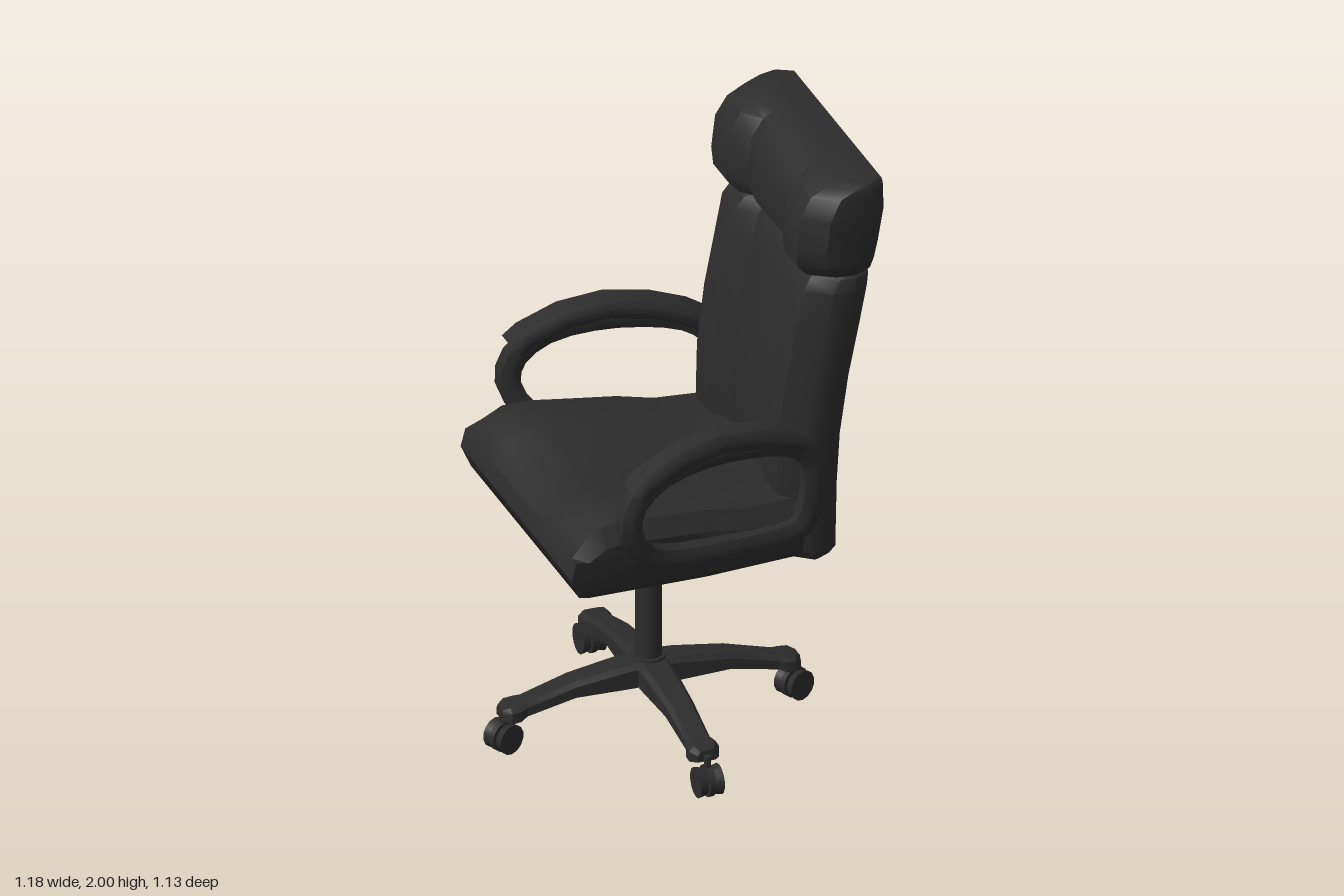
import * as THREE from 'three';
import { mergeVertices, toCreasedNormals } from 'three/addons/utils/BufferGeometryUtils.js';

const black = new THREE.MeshStandardMaterial({ color: 0x2c2c2c });
black.name = 'black leather and plastic';

const V = (x, y, z) => new THREE.Vector3(x, y, z);

// Skin a list of equal-length rings; either capped at both ends or joined into a loop
function loft(rings, loop = false, crease = 0.6) {
  const n = rings[0].length, m = rings.length;
  const pts = rings.flat();
  const tris = [];
  for (let i = 0; i < (loop ? m : m - 1); i++) {
    const a = i * n, b = ((i + 1) % m) * n;
    for (let j = 0; j < n; j++) {
      const k = (j + 1) % n;
      tris.push([a + j, b + j, b + k], [a + j, b + k, a + k]);
    }
  }
  if (!loop) {
    for (const [start, flip] of [[0, false], [(m - 1) * n, true]]) {
      const c = V(0, 0, 0);
      for (let j = 0; j < n; j++) c.addScaledVector(pts[start + j], 1 / n);
      pts.push(c);
      for (let j = 0; j < n; j++) {
        const p = start + j, q = start + ((j + 1) % n);
        tris.push(flip ? [pts.length - 1, q, p] : [pts.length - 1, p, q]);
      }
    }
  }
  // Turn the skin outwards if its enclosed volume is negative
  let volume = 0;
  for (const [a, b, c] of tris) volume += pts[a].dot(pts[b].clone().cross(pts[c]));
  if (volume < 0) tris.forEach((t) => t.reverse());
  const g = new THREE.BufferGeometry().setFromPoints(pts);
  g.setIndex(tris.flat());
  return toCreasedNormals(mergeVertices(g), crease);
}

function add(parent, name, geometry, x = 0, y = 0, z = 0) {
  const mesh = new THREE.Mesh(geometry, black);
  mesh.name = name;
  mesh.position.set(x, y, z);
  parent.add(mesh);
  return mesh;
}

// Sweep a bevelled bar along a path that lies mostly in the xy plane
function bar(path, width, height, loop) {
  const w = width / 2, h = height / 2, b = 0.3;
  const section = [[w, h * b], [w * (1 - b), h], [-w * (1 - b), h], [-w, h * b],
    [-w, -h * b], [-w * (1 - b), -h], [w * (1 - b), -h], [w, -h * b]];
  const m = path.length;
  const rings = path.map((p, i) => {
    const prev = path[loop ? (i + m - 1) % m : Math.max(i - 1, 0)];
    const next = path[loop ? (i + 1) % m : Math.min(i + 1, m - 1)];
    const normal = V(prev.y - next.y, next.x - prev.x, 0).normalize();
    return section.map(([s, t]) => p.clone().addScaledVector(normal, t).add(V(0, 0, s)));
  });
  return loft(rings, loop);
}

// Horizontal outline of the backrest: two side bolsters around a recessed middle
function backSection([y, front, back, w, hollow = 0.05]) {
  const half = [[0.93, back], [1, back - 0.05], [1, Math.min(front + 0.08, back - 0.06)],
    [0.87, front], [0.58, front], [0.43, front + hollow], [0.2, front + hollow * 0.7]];
  const left = half.map(([t, x]) => V(x, y, t * w));
  return [...left, ...left.map((p) => V(p.x, p.y, -p.z)).reverse()];
}

function seatGeometry() {
  // Side profile as [x, y, share of the full width]
  const profile = [[-0.4, 0.72, 0.94], [-0.46, 0.76, 0.98], [-0.49, 0.83, 1], [-0.475, 0.89, 1],
    [-0.43, 0.95, 1], [-0.37, 0.985, 1], [-0.29, 0.99, 1], [-0.15, 0.975, 1], [0, 0.96, 1],
    [0.12, 0.935, 1], [0.32, 0.93, 1], [0.32, 0.7, 0.94], [0, 0.7, 0.94]];
  const stations = [[-1, 0.07], [-0.92, 0.01], [-0.7, 0], [-0.48, 0.005], [-0.3, 0.03], [0, 0.035],
    [0.3, 0.03], [0.48, 0.005], [0.7, 0], [0.92, 0.01], [1, 0.07]];
  return loft(stations.map(([t, drop]) => profile.map(([x, y, share]) => {
    const width = 0.475 - 0.09 * (x + 0.49);
    const lower = y > 0.9 ? drop : Math.abs(t) === 1 && y < 0.75 ? -0.03 : 0;
    return V(x, y - lower, t * width * share);
  })));
}

function buildArmrest(side) {
  const g = new THREE.Group();
  g.name = side > 0 ? 'armrestPositiveZ' : 'armrestNegativeZ';
  // The frame converges rearwards and tucks in below the seat edge
  const place = ([x, y]) => V(x, y, side * (0.475 - 0.14 * x - Math.max(0, 1 - y) * 0.15));
  const frame = [[-0.315, 1], [-0.295, 1.09], [-0.2, 1.165], [-0.05, 1.195], [0.1, 1.19],
    [0.24, 1.16], [0.32, 1.1], [0.337, 1], [0.325, 0.9], [0.3, 0.845], [0.22, 0.828],
    [0.05, 0.832], [-0.13, 0.848], [-0.25, 0.89]];
  const loop = new THREE.CatmullRomCurve3(frame.map(place), true);
  add(g, 'armFrame', bar(loop.getPoints(28).slice(0, -1), 0.07, 0.07, true));
  const pad = [[-0.3, 1.125], [-0.26, 1.16], [-0.14, 1.215], [0, 1.237], [0.14, 1.217], [0.25, 1.18], [0.3, 1.15]];
  add(g, 'armPad', bar(pad.map(place), 0.1, 0.068, false));
  return g;
}

function buildCaster(angle) {
  const g = new THREE.Group();
  g.name = 'caster';
  add(g, 'stem', new THREE.CylinderGeometry(0.012, 0.012, 0.08, 8), 0, 0.1, 0);
  for (const s of [-1, 1]) {
    const wheel = add(g, 'wheel', new THREE.CylinderGeometry(0.044, 0.05, 0.026, 14), 0, 0.052, s * 0.026);
    wheel.rotation.x = s * -Math.PI / 2;
    wheel.scale.y = -1;
    wheel.scale.y = 1;
  }
  const fender = add(g, 'fender', new THREE.CylinderGeometry(0.052, 0.052, 0.018, 14), 0, 0.053, 0);
  fender.rotation.x = Math.PI / 2;
  g.rotation.y = angle;
  return g;
}

function buildBase() {
  const g = new THREE.Group();
  g.name = 'base';
  g.position.x = -0.047;
  add(g, 'baseHub', new THREE.CylinderGeometry(0.055, 0.065, 0.09, 16), 0, 0.205, 0);
  add(g, 'gasColumn', new THREE.CylinderGeometry(0.042, 0.042, 0.42, 16), 0, 0.42, 0);
  add(g, 'columnCollar', new THREE.CylinderGeometry(0.08, 0.07, 0.03, 16), 0, 0.615, 0);
  // Leg stations as [distance, bottom, top, half width]
  const stations = [[0, 0.165, 0.245, 0.056], [0.09, 0.165, 0.24, 0.054], [0.26, 0.165, 0.216, 0.046],
    [0.42, 0.128, 0.172, 0.04], [0.445, 0.118, 0.168, 0.05], [0.475, 0.115, 0.165, 0.05], [0.497, 0.118, 0.155, 0.03]];
  for (let i = 0; i < 4; i++) {
    const leg = new THREE.Group();
    leg.name = 'leg';
    leg.rotation.y = i * Math.PI / 2;
    add(leg, 'legBeam', loft(stations.map(([d, lo, hi, w]) => [V(d, lo, -w), V(d, hi - 0.015, -w),
      V(d, hi, -w * 0.7), V(d, hi, w * 0.7), V(d, hi - 0.015, w), V(d, lo, w)]), false, 0.4));
    const caster = buildCaster(i % 2 ? 0 : 0.4);
    caster.position.x = i % 2 ? 0.503 : 0.486;
    leg.add(caster);
    g.add(leg);
  }
  return g;
}

function buildMechanism() {
  const g = new THREE.Group();
  g.name = 'seatMechanism';
  g.position.x = -0.047;
  add(g, 'mountPlate', new THREE.BoxGeometry(0.24, 0.03, 0.26), 0, 0.642, 0);
  // Four flared arms reaching up to the underside of the seat
  for (const sx of [-1, 1]) for (const sz of [-1, 1]) {
    const across = V(-sz, 0, sx).normalize();
    const ring = (x, y, z, w) => [[-w, 0], [w, 0], [w, 0.025], [-w, 0.025]].map(
      ([a, h]) => V(sx * x, y + h, sz * z).addScaledVector(across, a));
    add(g, 'supportArm', loft([ring(0.05, 0.63, 0.06, 0.06), ring(0.13, 0.632, 0.13, 0.05),
      ring(0.24, 0.68, 0.23, 0.05), ring(0.29, 0.695, 0.27, 0.05)]));
  }
  // Height lever with a flat paddle
  const rod = new THREE.CatmullRomCurve3([V(-0.07, 0.63, -0.1), V(-0.07, 0.61, -0.17), V(-0.07, 0.595, -0.24)]);
  add(g, 'leverRod', new THREE.TubeGeometry(rod, 6, 0.009, 6));
  const paddle = (z, y, w, h) => [V(-0.07 - w, y - h, z), V(-0.07 + w, y - h, z), V(-0.07 + w, y + h, z), V(-0.07 - w, y + h, z)];
  add(g, 'leverPaddle', loft([paddle(-0.21, 0.592, 0.012, 0.008), paddle(-0.27, 0.594, 0.03, 0.013),
    paddle(-0.34, 0.6, 0.03, 0.014), paddle(-0.365, 0.6, 0.018, 0.01)]));
  return g;
}

export function createModel() {
  const chair = new THREE.Group();
  chair.name = 'officeChair';
  add(chair, 'seatCushion', seatGeometry());

  // Rows as [height, front x, back x, half width, hollow depth]
  add(chair, 'backrest', loft([[0.69, 0.3, 0.42, 0.375, 0.02], [0.72, 0.27, 0.435, 0.39], [0.95, 0.245, 0.438, 0.395],
    [1.12, 0.25, 0.447, 0.398], [1.32, 0.275, 0.475, 0.4], [1.5, 0.31, 0.512, 0.4], [1.63, 0.335, 0.537, 0.4],
    [1.67, 0.36, 0.545, 0.39], [1.69, 0.4, 0.545, 0.37, 0.03]].map(backSection)));
  add(chair, 'headrest', loft([[1.68, 0.4, 0.546, 0.39, 0.03], [1.69, 0.345, 0.548, 0.4], [1.73, 0.31, 0.555, 0.415],
    [1.79, 0.305, 0.566, 0.42], [1.9, 0.318, 0.585, 0.42], [1.965, 0.355, 0.587, 0.412],
    [1.988, 0.405, 0.587, 0.408, 0.035], [2, 0.46, 0.585, 0.4, 0.02]].map(backSection)));
  // Pair of fixing screws low on the rear panel
  for (const z of [-0.17, 0.17]) add(chair, 'rearScrew', new THREE.SphereGeometry(0.012, 8, 6), 0.432, 0.715, z);

  for (const side of [-1, 1]) chair.add(buildArmrest(side));
  chair.add(buildMechanism(), buildBase());
  return chair;
}
